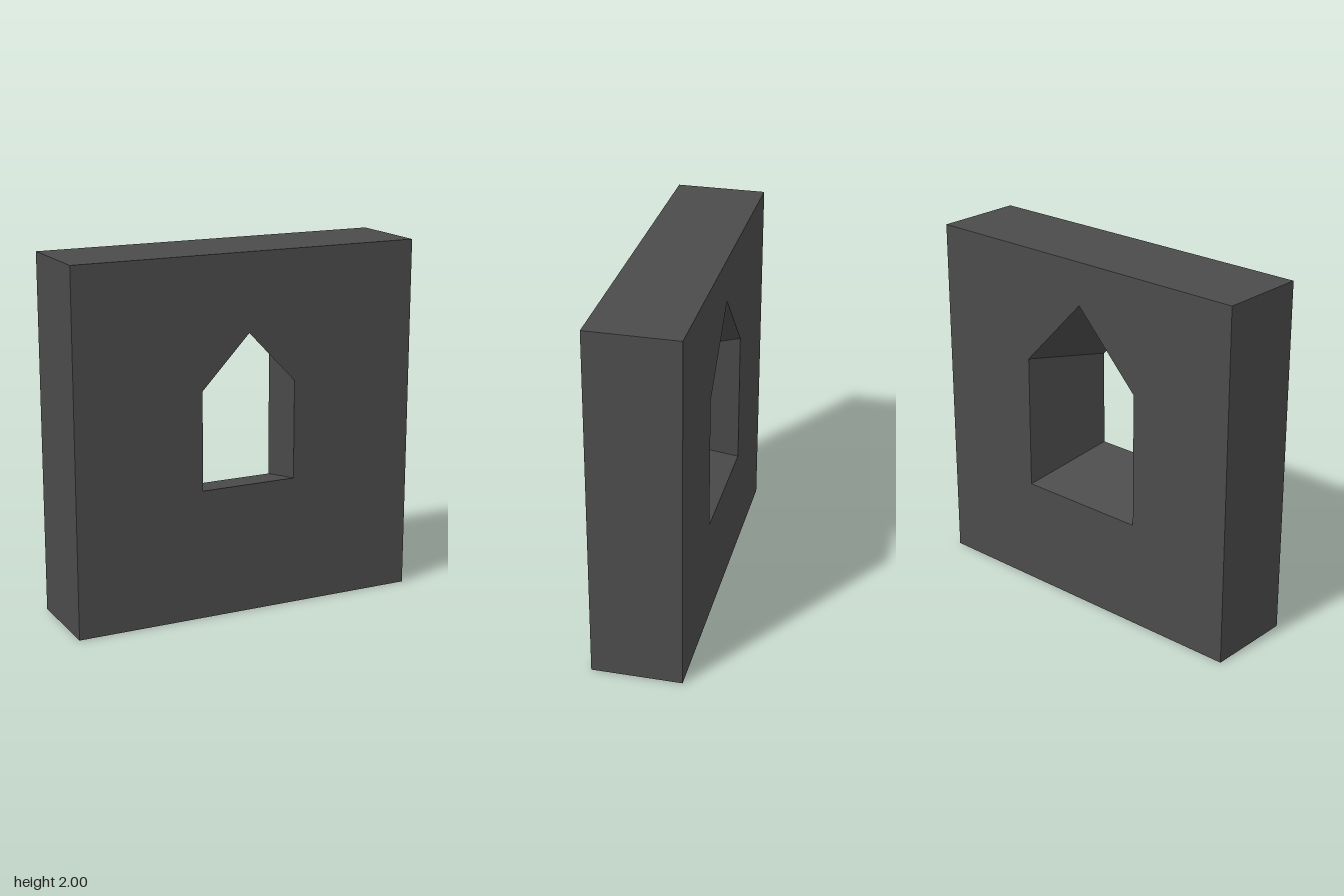
import * as THREE from 'three';

export function createModel() {
  const group = new THREE.Group();
  group.name = 'wallBlock';
  const stone = new THREE.MeshStandardMaterial({ color: 0x4b4b4b });
  stone.name = 'dark grey';

  // Square wall with a gabled window opening
  const outline = new THREE.Shape([
    new THREE.Vector2(-1, 0), new THREE.Vector2(1, 0),
    new THREE.Vector2(1, 2), new THREE.Vector2(-1, 2),
  ]);
  const sill = 0.727;
  outline.holes.push(new THREE.Path([
    new THREE.Vector2(-0.275, sill), new THREE.Vector2(-0.275, 1.277),
    new THREE.Vector2(0, 1.566), new THREE.Vector2(0.275, 1.277),
    new THREE.Vector2(0.275, sill),
  ]));
  const depth = 0.5;
  const geometry = new THREE.ExtrudeGeometry(outline, { depth, bevelEnabled: false });
  geometry.translate(0, 0, -depth / 2);

  // Splay the opening: it widens towards the back and its sill drops
  const splay = 1.382, backSill = 0.602;
  const p = geometry.attributes.position;
  for (let i = 0; i < p.count; i++) {
    if (p.getZ(i) < 0 && Math.abs(p.getX(i)) < 0.9) {
      p.setX(i, p.getX(i) * splay);
      p.setY(i, backSill + (p.getY(i) - sill) * splay);
    }
  }
  geometry.computeVertexNormals();

  const wall = new THREE.Mesh(geometry, stone);
  wall.name = 'wallWithSplayedWindow';
  group.add(wall);
  return group;
}
